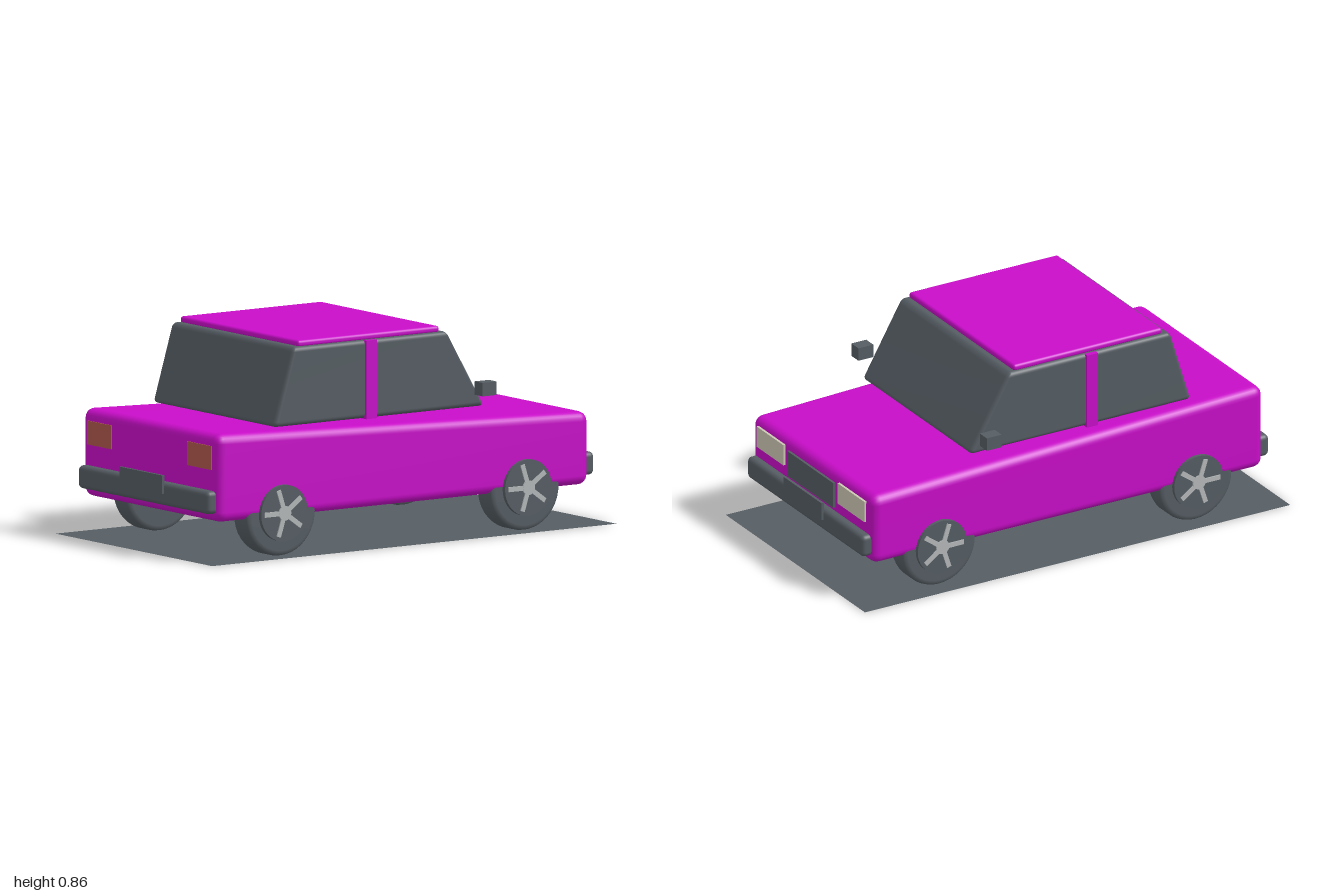
import * as THREE from 'three';
import { mergeVertices } from 'three/addons/utils/BufferGeometryUtils.js';
import { RoundedBoxGeometry } from 'three/addons/geometries/RoundedBoxGeometry.js';

export function createModel() {
  const paint = (name, color) => {
    const m = new THREE.MeshStandardMaterial({ color });
    m.name = name;
    return m;
  };
  const body = paint('magentaPaint', 0xc80dc8);
  const dark = paint('darkGrey', 0x555d63);
  const orange = paint('orangeLamp', 0xb0584f);
  const white = paint('whiteLamp', 0xcdc9b5);
  const rim = paint('rimSilver', 0xb4b7b8);
  const ground = paint('groundGrey', 0x555d63);
  ground.side = THREE.DoubleSide;

  const car = new THREE.Group();
  car.name = 'car';
  const add = (name, geo, mat, x = 0, y = 0, z = 0, parent = car) => {
    const mesh = new THREE.Mesh(geo, mat);
    mesh.name = name;
    mesh.position.set(x, y, z);
    parent.add(mesh);
    return mesh;
  };
  const box = (w, h, d) => new THREE.BoxGeometry(w, h, d);
  const rounded = (w, h, d, r) => new RoundedBoxGeometry(w, h, d, 3, r);

  // Rounded box whose vertices are moved by a rule, with smooth normals rebuilt
  const shaped = (w, h, d, r, rule) => {
    let geo = rounded(w, h, d, r);
    const p = geo.attributes.position;
    const v = new THREE.Vector3();
    for (let i = 0; i < p.count; i++) {
      v.fromBufferAttribute(p, i);
      rule(v);
      p.setXYZ(i, v.x, v.y, v.z);
    }
    geo.deleteAttribute('normal');
    geo.deleteAttribute('uv');
    geo = mergeVertices(geo);
    geo.computeVertexNormals();
    return geo;
  };

  // Flat ground sheet
  add('groundPlate', new THREE.PlaneGeometry(1.09, 2).rotateX(-Math.PI / 2), ground, 0, 0.002, 0);

  // Lower body: top edge slopes down toward the back
  add('lowerBody', shaped(0.95, 0.36, 1.84, 0.04, (v) => {
    if (v.y > 0) v.y += 0.031 * (v.z / 0.92 - 1);
  }), body, 0, 0.34, 0);

  // Cabin glass: both end faces lean inwards
  add('cabinGlass', shaped(0.855, 0.32, 1.04, 0.02, (v) => {
    const t = v.y / 0.32 + 0.5;
    const s = (v.z + 0.52) / 1.04;
    const back = -0.435 + 0.187 * t;
    const front = 0.608 - 0.098 * t;
    v.z = back + (front - back) * s;
  }), dark, 0, 0.677, 0);
  add('roof', rounded(0.825, 0.028, 0.7, 0.012), body, 0, 0.846, 0.13);
  add('doorPillars', box(0.874, 0.32, 0.052), body, 0, 0.675, 0.135);

  // Bumpers and plates at both ends
  for (const s of [1, -1]) {
    add('bumper', rounded(0.91, 0.094, 0.055, 0.02), dark, 0, 0.242, s * 0.93);
    add('bumperPlate', box(0.297, 0.075, 0.012), dark, 0, 0.283, s * 0.96);
  }
  add('grille', box(0.36, 0.11, 0.02), dark, 0, 0.36, -0.921);

  for (const s of [1, -1]) {
    add('orangeLight', box(0.166, 0.097, 0.012), orange, s * 0.347, 0.422, 0.919);
    add('whiteLight', box(0.21, 0.09, 0.016), white, s * 0.317, 0.382, -0.921);
    add('sideMirror', box(0.055, 0.055, 0.07), dark, s * 0.503, 0.603, -0.383);
  }

  // Wheels
  const R = 0.172;
  const lathe = (pts) => new THREE.LatheGeometry(pts.map(([r, y]) => new THREE.Vector2(r, y)), 40)
    .rotateZ(-Math.PI / 2);
  const tireGeo = lathe([[0, -0.053], [0.15, -0.053], [0.163, -0.05], [0.169, -0.043], [R, -0.033],
    [R, 0.033], [0.169, 0.043], [0.163, 0.05], [0.15, 0.053], [0, 0.053]]);
  const discGeo = new THREE.CylinderGeometry(0.115, 0.115, 0.02, 40).rotateZ(-Math.PI / 2);
  const hubGeo = new THREE.CylinderGeometry(0.03, 0.03, 0.012, 20).rotateZ(-Math.PI / 2);
  const spokeGeo = box(0.01, 0.02, 0.075).translate(0, 0, 0.062);
  for (const sx of [1, -1]) {
    for (const sz of [1, -1]) {
      const wheel = new THREE.Group();
      wheel.name = 'wheel';
      wheel.position.set(sx * 0.42, R, sz * 0.603);
      car.add(wheel);
      add('tire', tireGeo, dark, 0, 0, 0, wheel);
      add('wheelDisc', discGeo, dark, sx * 0.06, 0.005, 0, wheel);
      add('hub', hubGeo, rim, sx * 0.07, 0.005, 0, wheel);
      for (let i = 0; i < 5; i++) {
        const spoke = add('spoke', spokeGeo, rim, sx * 0.07, 0.005, 0, wheel);
        spoke.rotation.x = (i * Math.PI * 2) / 5;
      }
    }
  }
  return car;
}
